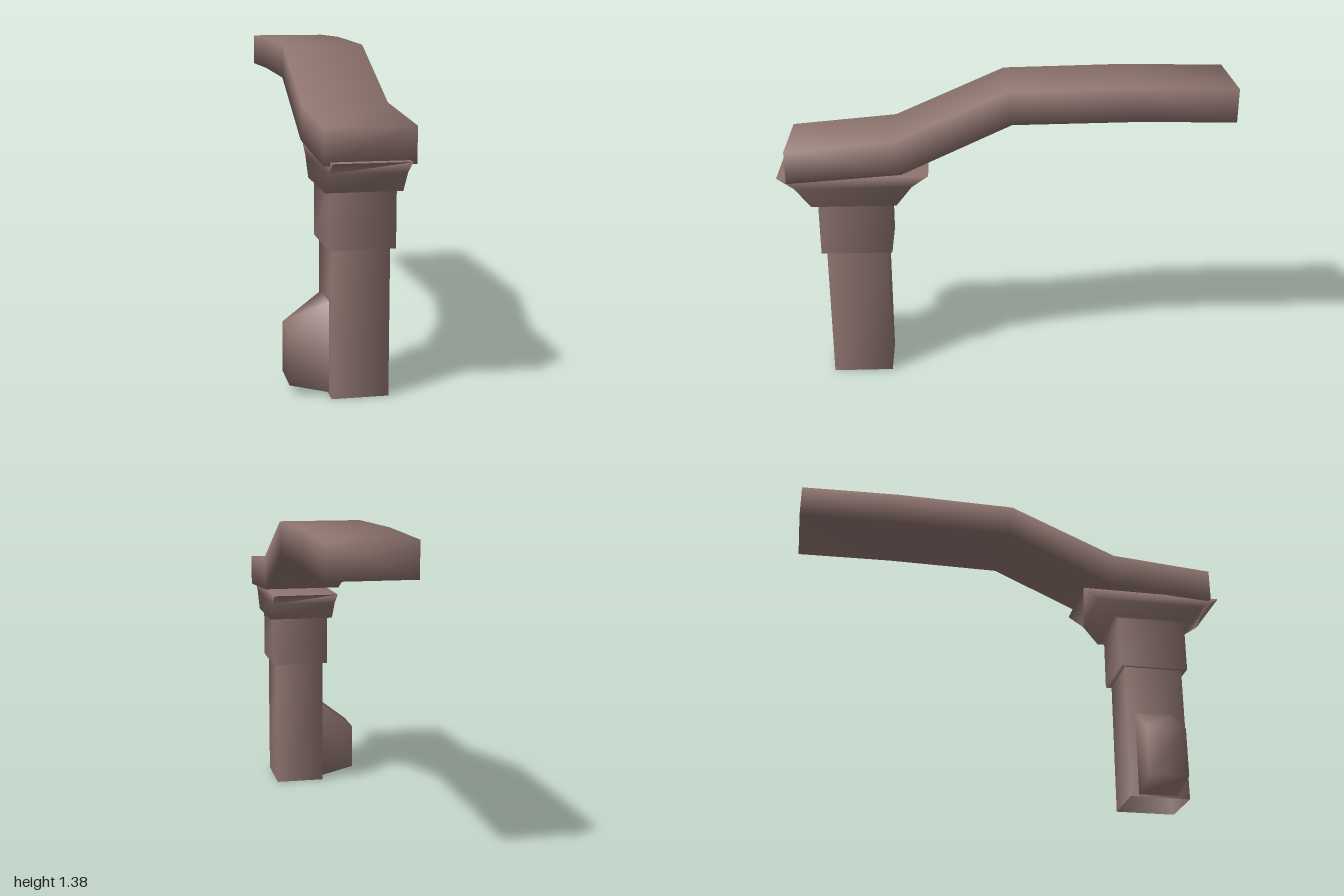
import * as THREE from 'three';

const brown = new THREE.MeshStandardMaterial({ color: 0x8d736e, side: THREE.DoubleSide });
brown.name = 'dull brown';

// Skin four-cornered rings into one smooth-shaded surface, capping the chosen ends.
function loft(name, rings, capStart, capEnd) {
  const index = [];
  for (let k = 0; k < rings.length - 1; k++) {
    for (let i = 0; i < 4; i++) {
      const j = (i + 1) % 4;
      const a = k * 4 + i, b = k * 4 + j, c = b + 4, d = a + 4;
      index.push(a, b, c, a, c, d);
    }
  }
  const e = (rings.length - 1) * 4;
  if (capStart) index.push(0, 2, 1, 0, 3, 2);
  if (capEnd) index.push(e, e + 1, e + 2, e, e + 2, e + 3);
  const geo = new THREE.BufferGeometry();
  geo.setAttribute('position', new THREE.Float32BufferAttribute(rings.flat(2), 3));
  geo.setIndex(index);
  geo.computeVertexNormals();
  const mesh = new THREE.Mesh(geo, brown);
  mesh.name = name;
  return mesh;
}

const CX = 0.031, CZ = 0.656;

// Horizontal rectangle around the post axis
const level = (y, w, d) => [[1, 1], [1, -1], [-1, -1], [-1, 1]]
  .map(([sx, sz]) => [CX + sx * w / 2, y, CZ + sz * d / 2]);

// Cross-section of the long arm
const armRing = ([zBottom, bottom, zTop, top]) => {
  const l = CX - 0.181, r = CX + 0.181;
  return [[l, bottom, zBottom], [r, bottom, zBottom], [r, top, zTop], [l, top, zTop]];
};

// Upright cross-section of the side fin
const finRing = (x, bottom, top) =>
  [[x, bottom, 0.56], [x, bottom, 0.736], [x, top, 0.736], [x, top, 0.56]];

export function createModel() {
  const group = new THREE.Group();
  const body = new THREE.Group();
  body.name = 'angledBody';
  body.rotation.y = -0.122;
  group.add(body);

  // Hollow post, open at the bottom
  body.add(loft('post', [level(0, 0.234, 0.268), level(0.615, 0.234, 0.268)], false, false));

  // Stepped collar flaring out front and back under the arm
  body.add(loft('collar', [
    level(0.615, 0.234, 0.268),
    level(0.615, 0.27, 0.314),
    level(0.85, 0.27, 0.314),
    level(0.85, 0.308, 0.37),
    level(0.935, 0.308, 0.506),
    level(0.985, 0.308, 0.652),
  ], false, true));

  // Bent arm, from the back end to the front end
  body.add(loft('arm', [
    [-0.989, 1.22, -0.989, 1.367],
    [-0.55, 1.228, -0.55, 1.377],
    [-0.03, 1.222, -0.01, 1.367],
    [0.445, 1.004, 0.475, 1.155],
    [0.938, 0.97, 0.938, 1.115],
  ].map(armRing), true, true));

  // Tapered fin on the side of the post
  body.add(loft('sideFin', [finRing(-0.085, 0.01, 0.39), finRing(-0.248, 0.05, 0.265)], false, true));

  return group;
}
